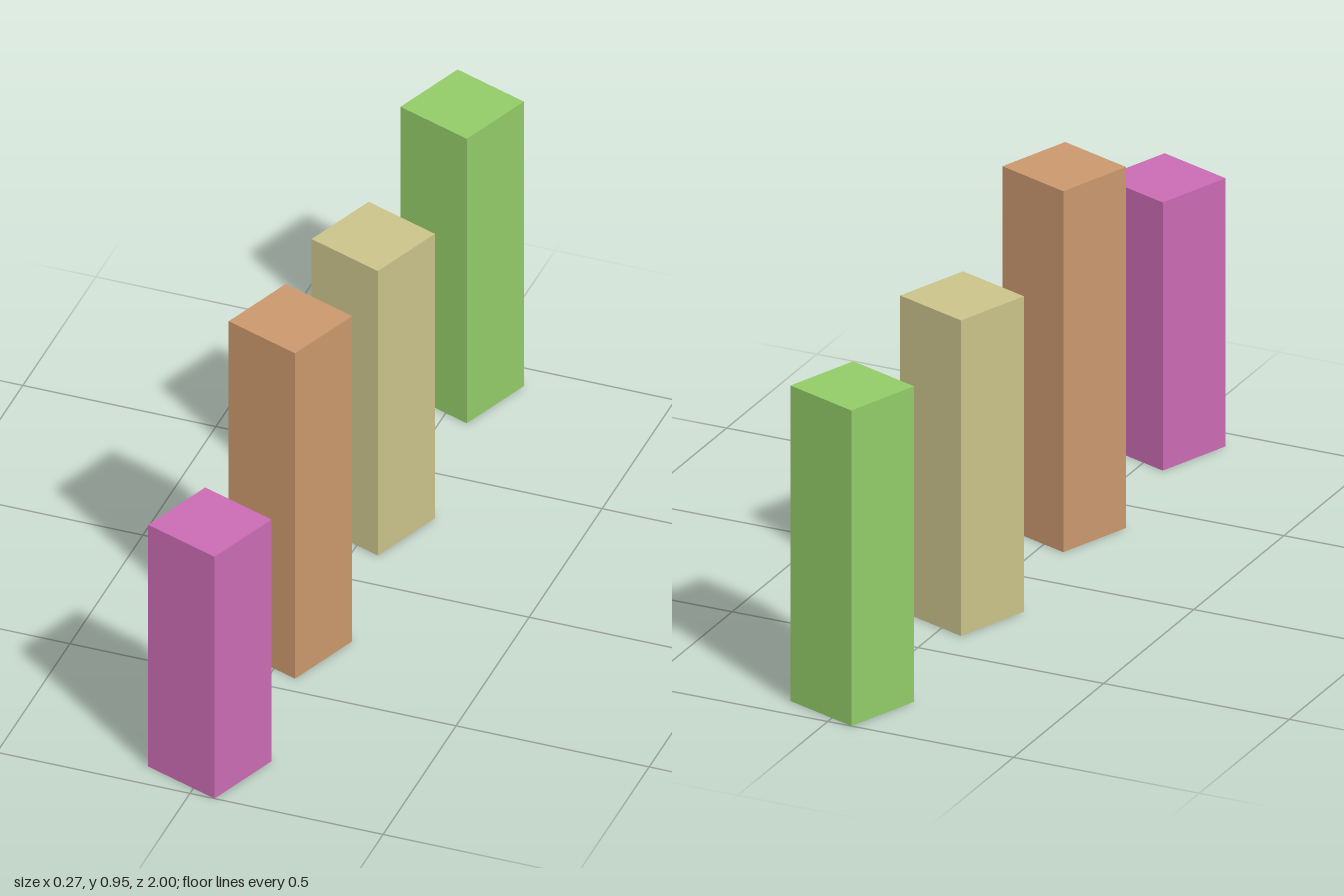
import * as THREE from 'three';

const SIDE = 0.212;
const TWIST = THREE.MathUtils.degToRad(-20);

// Four square pillars in a row, from front to back
const PILLARS = [
  { name: 'pinkPillar', z: 0.864, height: 0.708, color: 0xca6bb3 },
  { name: 'brownPillar', z: 0.312, height: 0.953, color: 0xca986d },
  { name: 'beigePillar', z: -0.255, height: 0.833, color: 0xcac38a },
  { name: 'greenPillar', z: -0.864, height: 0.833, color: 0x92cb67 },
];

function createPillar({ name, z, height, color }) {
  const pillar = new THREE.Mesh(
    new THREE.BoxGeometry(SIDE, height, SIDE),
    new THREE.MeshStandardMaterial({ color })
  );
  pillar.name = name;
  pillar.position.set(0, height / 2, z);
  pillar.rotation.y = TWIST;
  return pillar;
}

export function createModel() {
  const model = new THREE.Group();
  model.name = 'pillarRow';
  for (const spec of PILLARS) model.add(createPillar(spec));
  return model;
}
